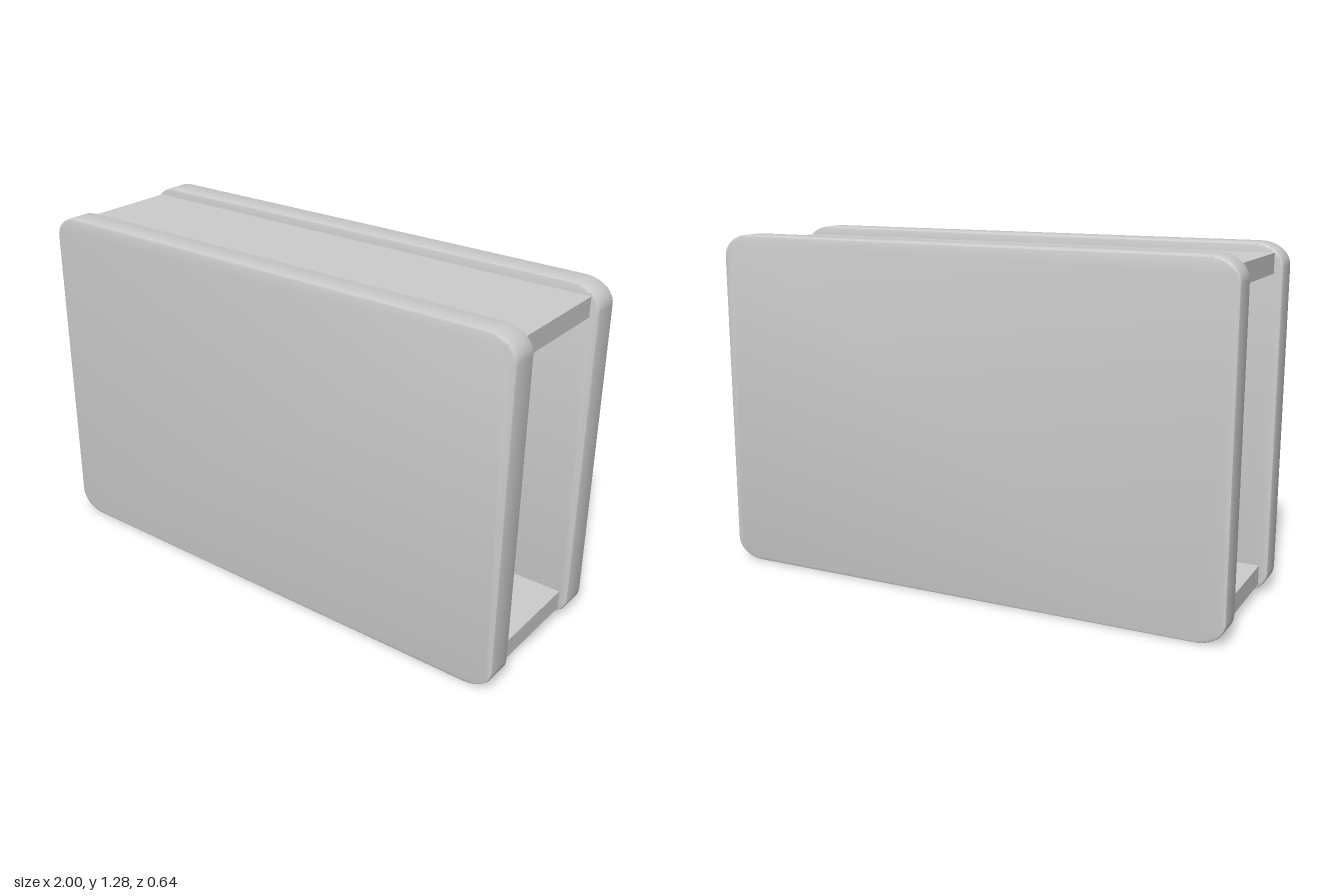
import * as THREE from 'three';
import { toCreasedNormals } from 'three/addons/utils/BufferGeometryUtils.js';

const material = new THREE.MeshStandardMaterial({ color: 0xcccccc });

// Rectangle with elliptical corners, centred on the origin
function roundedRect(w, h, rx, ry) {
  const x = w / 2 - rx, y = h / 2 - ry;
  const shape = new THREE.Shape();
  [[x, y], [-x, y], [-x, -y], [x, -y]].forEach(([cx, cy], i) => {
    const a = i * Math.PI / 2;
    shape.absellipse(cx, cy, rx, ry, a, a + Math.PI / 2, false, 0);
  });
  shape.closePath();
  return shape;
}

export function createModel() {
  const group = new THREE.Group();
  const add = (name, geometry, x, y, z) => {
    const mesh = new THREE.Mesh(geometry, material);
    mesh.name = name;
    mesh.position.set(x, y, z);
    group.add(mesh);
  };

  const height = 1.285, thickness = 0.106, bevel = 0.008;

  // Two upright panels with rounded corners and softened rims
  let panel = new THREE.ExtrudeGeometry(
    roundedRect(2 - 2 * bevel, height - 2 * bevel, 0.1, 0.075),
    { depth: thickness - 2 * bevel, bevelThickness: bevel, bevelSize: bevel, bevelSegments: 2, curveSegments: 6 }
  );
  panel.translate(0, 0, bevel - thickness / 2);
  panel = toCreasedNormals(panel, 0.6);
  add('frontPanel', panel, 0, height / 2, 0.267);
  add('backPanel', panel, 0, height / 2, -0.267);

  // Horizontal boards joining the panels, open at both ends
  const board = new THREE.BoxGeometry(1.935, 0.072, 0.44);
  add('topBoard', board, 0, 1.215, 0);
  add('bottomBoard', board, 0, 0.073, 0);

  return group;
}
